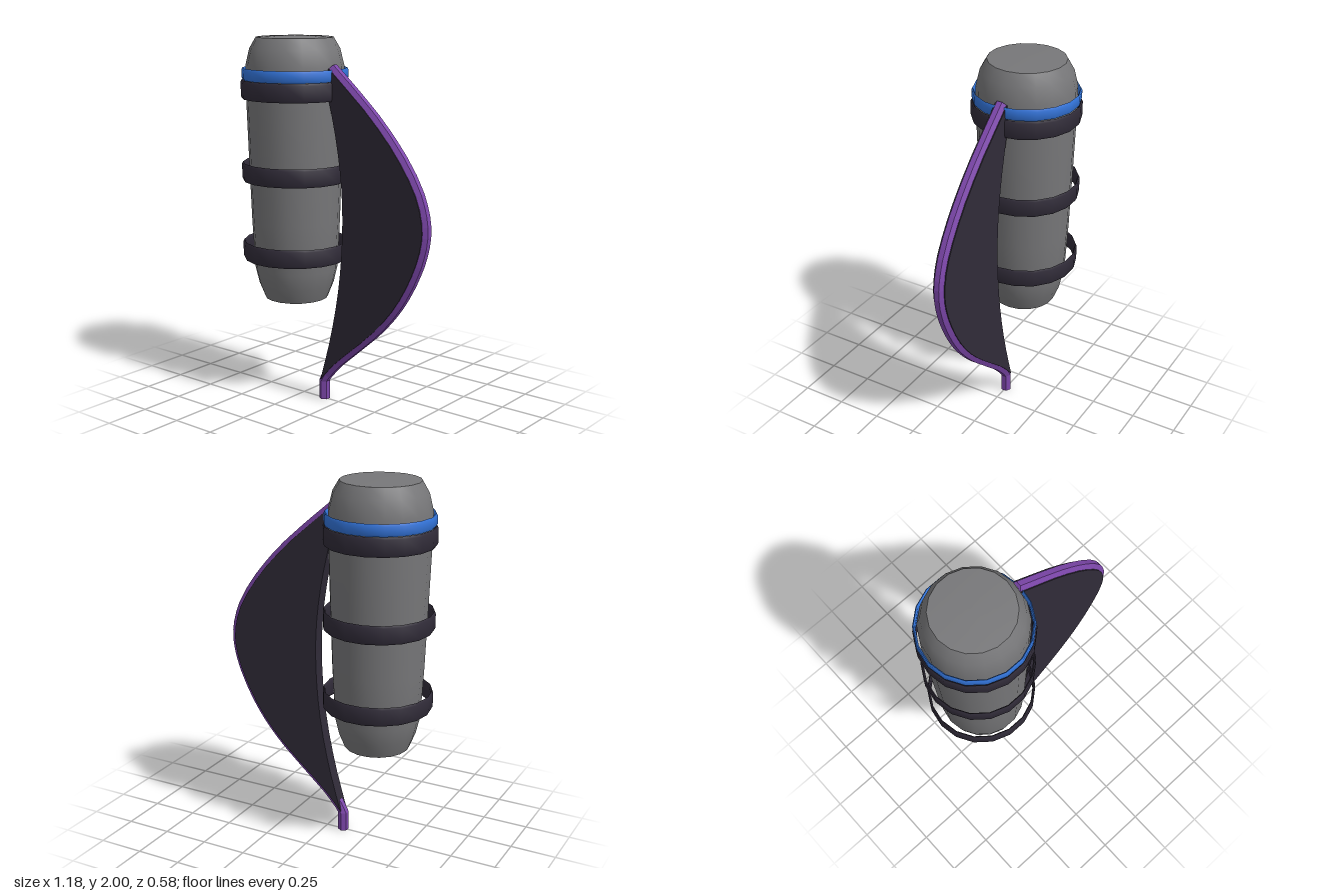
import * as THREE from 'three';
import { toCreasedNormals } from 'three/addons/utils/BufferGeometryUtils.js';

const SIDES = 18;
const BODY_X = -0.3;

const paint = (color, extra = {}) => new THREE.MeshStandardMaterial({ color, ...extra });
const vec2 = (pairs) => pairs.map(([x, y]) => new THREE.Vector2(x, y));
const vec3 = (pairs) => pairs.map(([x, y]) => new THREE.Vector3(x, y, 0));

// Turned part around the body axis, with a corner of the polygon facing +x
function turned(name, profile, material, crease) {
  const geometry = new THREE.LatheGeometry(vec2(profile), SIDES);
  geometry.rotateY(Math.PI / 2);
  const mesh = new THREE.Mesh(toCreasedNormals(geometry, crease), material);
  mesh.name = name;
  mesh.position.x = BODY_X;
  return mesh;
}

// Thin hoop with softened rims
function hoop(name, bottom, top, radius, material) {
  const inner = radius - 0.013, b = 0.012;
  return turned(name, [
    [inner, bottom + b], [radius - 0.006, bottom], [radius, bottom + b],
    [radius, top - b], [radius - 0.006, top], [inner, top - b], [inner, bottom + b],
  ], material, 0.6);
}

export function createModel() {
  const model = new THREE.Group();
  model.name = 'finnedCanister';
  const grey = paint(0x777779);
  const dark = paint(0x302b38);
  const blue = paint(0x3273d8);
  const purple = paint(0x7d47ab, { flatShading: true });

  // Tapered canister
  model.add(turned('canister', [
    [0, 0.55], [0.175, 0.56], [0.207, 0.64], [0.228, 0.73], [0.242, 1.0],
    [0.254, 1.35], [0.265, 1.7], [0.265, 1.84], [0.243, 1.93], [0.208, 1.99], [0, 2],
  ], grey, 0.6));

  // Bands around the canister
  [[0.785, 0.885], [1.22, 1.32], [1.665, 1.765]].forEach(([lo, hi], i) =>
    model.add(hoop(`band${i + 1}`, lo, hi, 0.292, dark)));
  model.add(hoop('blueBand', 1.765, 1.828, 0.287, blue));

  // Curved web between the canister and the rim
  const outer = new THREE.CatmullRomCurve3(vec3([
    [-0.1, 0.12], [0, 0.23], [0.25, 0.45], [0.39, 0.61], [0.49, 0.78], [0.55, 0.94],
    [0.563, 1.06], [0.527, 1.21], [0.41, 1.4], [0.23, 1.6], [-0.04, 1.835],
  ]), false, 'centripetal');
  const inner = new THREE.CatmullRomCurve3(vec3([
    [-0.06, 1.75], [-0.035, 1.66], [0.015, 1.44], [0.045, 1.23], [0.054, 1.04],
    [0.045, 0.82], [0.018, 0.6], [-0.035, 0.35], [-0.1, 0.12],
  ]), false, 'centripetal');
  const outline = [...outer.getPoints(24), ...inner.getPoints(18).slice(0, -1)];
  const web = new THREE.ExtrudeGeometry(
    new THREE.Shape(outline.map((p) => new THREE.Vector2(p.x, p.y))),
    { depth: 0.07, bevelEnabled: false });
  web.translate(0, 0, -0.035);
  const webMesh = new THREE.Mesh(toCreasedNormals(web, 0.5), dark);
  webMesh.name = 'web';
  model.add(webMesh);

  // Six-sided rim following the web, ending in a short straight stem
  const path = new THREE.CurvePath();
  const stops = [new THREE.Vector3(-0.1, 0, 0), ...outer.getPoints(20)];
  for (let i = 1; i < stops.length; i++) path.add(new THREE.LineCurve3(stops[i - 1], stops[i]));
  const rim = new THREE.Group();
  rim.name = 'rim';
  rim.add(new THREE.Mesh(new THREE.TubeGeometry(path, 44, 0.03, 6), purple));

  // Caps closing both ends of the rim
  [[0, -1], [1, 1]].forEach(([t, sign]) => {
    const cap = new THREE.Mesh(new THREE.CircleGeometry(0.03, 6).rotateZ(Math.PI / 2), purple);
    const z = path.getTangentAt(t).multiplyScalar(sign);
    const y = new THREE.Vector3(0, 0, 1);
    const x = new THREE.Vector3().crossVectors(y, z);
    cap.quaternion.setFromRotationMatrix(new THREE.Matrix4().makeBasis(x, y, z));
    cap.position.copy(path.getPointAt(t));
    rim.add(cap);
  });
  rim.children.forEach((m, i) => { m.name = ['rimTube', 'stemCap', 'tipCap'][i]; });
  model.add(rim);

  return model;
}
